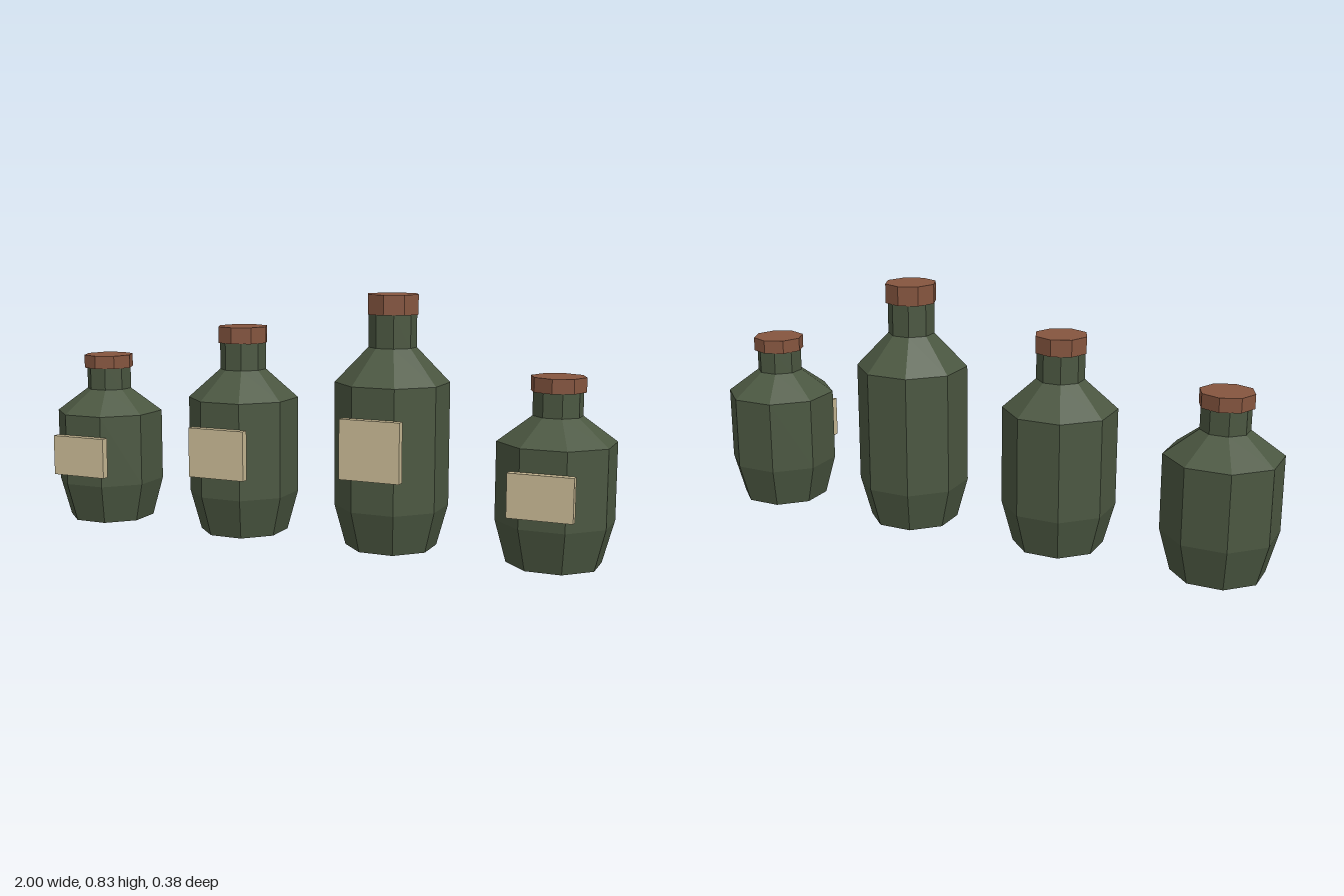
import * as THREE from 'three';

// Separate the faces so every side is flat shaded
function faceted(geometry) {
  const flat = geometry.toNonIndexed();
  flat.computeVertexNormals();
  return flat;
}

function addMesh(group, name, geometry, material) {
  const mesh = new THREE.Mesh(geometry, material);
  mesh.name = name;
  group.add(mesh);
  return mesh;
}

export function createModel() {
  const glass = new THREE.MeshStandardMaterial({ color: 0x4b5741 });
  glass.name = 'dark green glass';
  const cork = new THREE.MeshStandardMaterial({ color: 0x85553f });
  cork.name = 'reddish brown cap';
  const paper = new THREE.MeshStandardMaterial({ color: 0xc8b994 });
  paper.name = 'tan label';

  const SIDES = 8;
  const toCorner = 1 / Math.cos(Math.PI / SIDES); // flat half-width to corner radius

  function makeBottle(h) {
    const bottle = new THREE.Group();
    bottle.name = 'bottle';

    // Body: tapered foot, straight sides, sloping shoulder and neck
    const profile = [
      [0, 0], [0.14, 0], [0.175, 0.138], [0.175, 0.655 * h],
      [0.073, 0.793 * h], [0.073, 0.93 * h], [0, 0.93 * h],
    ].map(([r, y]) => new THREE.Vector2(r * toCorner, y));
    addMesh(bottle, 'bottleBody',
      faceted(new THREE.LatheGeometry(profile, SIDES, Math.PI / SIDES)), glass);

    // Cap, turned with a corner to the front
    const capHeight = 0.078 * h;
    const cap = addMesh(bottle, 'cap',
      faceted(new THREE.CylinderGeometry(0.088, 0.088, capHeight, SIDES)), cork);
    cap.position.y = h - capHeight / 2;

    // Label plate standing just off the front
    const label = addMesh(bottle, 'label', new THREE.BoxGeometry(0.205, 0.235 * h, 0.027), paper);
    label.position.set(0, 0.4175 * h, 0.193);
    return bottle;
  }

  // Row of four bottles
  const model = new THREE.Group();
  model.name = 'bottleRow';
  [0.593, 0.713, 0.835, 0.593].forEach((height, i) => {
    const bottle = makeBottle(height);
    bottle.position.set(-0.825 + i * 0.55, 0, -0.015);
    model.add(bottle);
  });
  return model;
}
